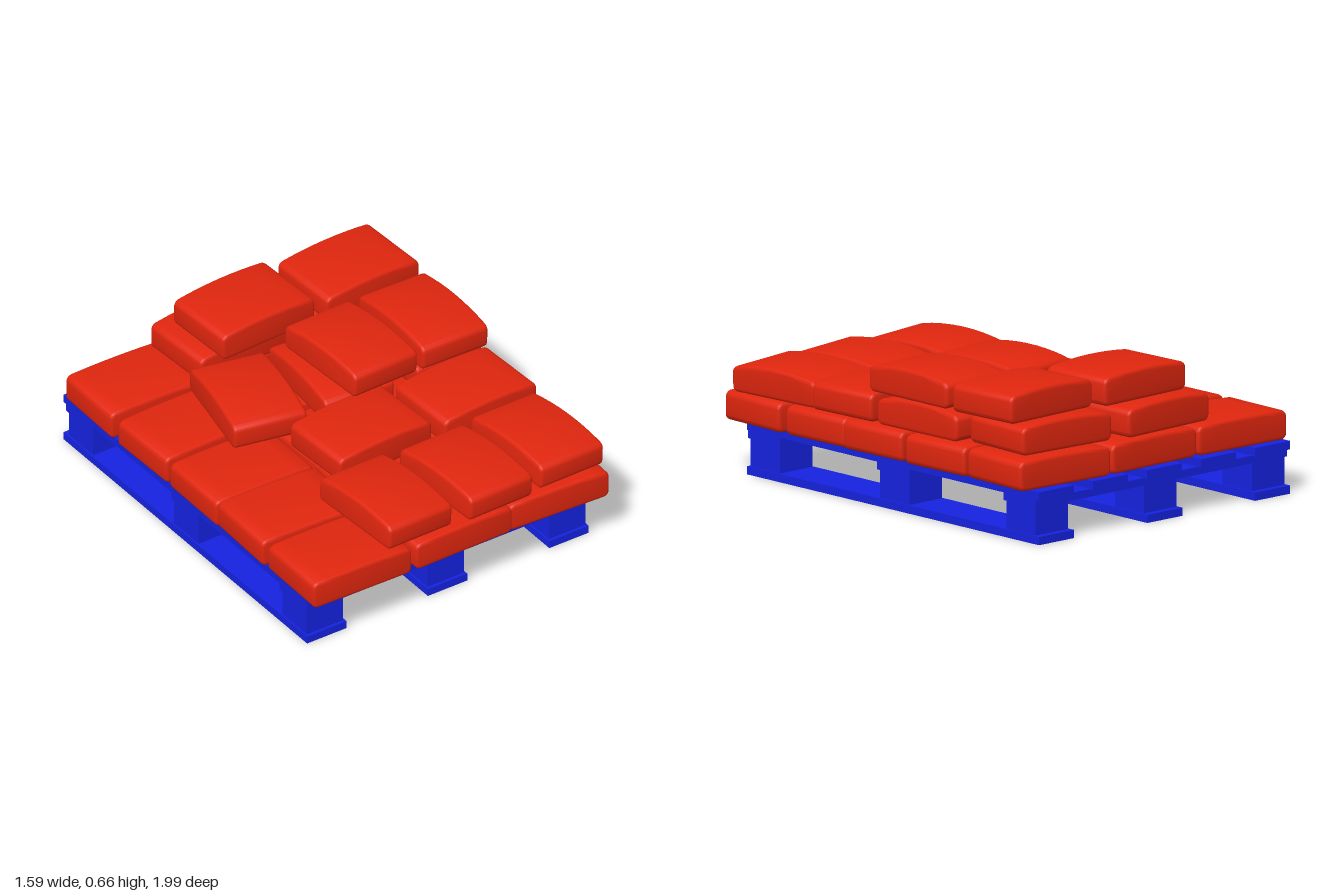
import * as THREE from 'three';
import { toCreasedNormals } from 'three/addons/utils/BufferGeometryUtils.js';

const blue = new THREE.MeshStandardMaterial({ color: 0x1522e0 });
const red = new THREE.MeshStandardMaterial({ color: 0xe0260e });

// Filled sack standing on y = 0: arched top along its length, rounded edges
function sackGeometry(length, width, height, arch) {
  const b = 0.016, r = 0.014;
  const x = length / 2 - b, y0 = b, y1 = height - arch - b;
  const s = new THREE.Shape();
  s.moveTo(-x + r, y0);
  s.lineTo(x - r, y0);
  s.quadraticCurveTo(x, y0, x, y0 + r);
  s.lineTo(x, y1 - r);
  s.quadraticCurveTo(x, y1, x - r, y1 + 0.004);
  s.quadraticCurveTo(0, y1 + 2 * arch, -x + r, y1 + 0.004);
  s.quadraticCurveTo(-x, y1, -x, y1 - r);
  s.lineTo(-x, y0 + r);
  s.quadraticCurveTo(-x, y0, -x + r, y0);
  const depth = width - 2 * b;
  const geo = new THREE.ExtrudeGeometry(s, {
    depth, bevelEnabled: true, bevelSize: b, bevelThickness: b, bevelSegments: 3, curveSegments: 8,
  });
  geo.translate(0, 0, -depth / 2);
  return toCreasedNormals(geo, 0.6);
}

function createPallet() {
  const pallet = new THREE.Group();
  pallet.name = 'pallet';
  const box = (name, x0, x1, y0, y1, z0, z1) => {
    const m = new THREE.Mesh(new THREE.BoxGeometry(x1 - x0, y1 - y0, z1 - z0), blue);
    m.position.set((x0 + x1) / 2, (y0 + y1) / 2, (z0 + z1) / 2);
    m.name = name;
    pallet.add(m);
  };
  const blockRows = [[-0.97, -0.78], [-0.15, 0.04], [0.69, 0.88]];
  // Skids with three blocks each
  for (const x of [-0.665, -0.022, 0.625]) {
    box('skid', x - 0.105, x + 0.105, 0, 0.037, -1, 0.895);
    for (const [z0, z1] of blockRows) box('block', x - 0.097, x + 0.097, 0.037, 0.165, z0, z1);
  }
  // Cross boards over the blocks
  for (const [z0, z1] of blockRows) box('crossBoard', -0.77, 0.73, 0.165, 0.2, z0 - 0.01, z1 + 0.01);
  // Deck boards
  for (let i = 0; i < 5; i++) {
    const x = -0.665 + i * 0.3225;
    box('deckBoard', x - 0.105, x + 0.105, 0.2, 0.238, -1, 0.895);
  }
  return pallet;
}

export function createModel() {
  const model = new THREE.Group();
  model.name = 'loadedPallet';
  model.add(createPallet());

  const flat = sackGeometry(0.52, 0.37, 0.138, 0.008);
  const across = sackGeometry(0.51, 0.368, 0.14, 0.016);
  const along = sackGeometry(0.51, 0.35, 0.138, 0.024).rotateY(Math.PI / 2);

  const layer = (name, y, sacks) => {
    const group = new THREE.Group();
    group.name = name;
    group.position.y = y;
    for (const [geo, x, z, turn, tilt = 0] of sacks) {
      const m = new THREE.Mesh(geo, red);
      m.name = 'sack';
      m.position.set(x, 0, z);
      m.rotation.set(0, turn, tilt);
      group.add(m);
    }
    model.add(group);
  };

  // Bottom layer: three columns of five sacks
  const rows = [-0.775, -0.367, 0.037, 0.408, 0.8];
  const turns = [
    [-0.02, 0.02, -0.01, -0.03, -0.015],
    [0.03, -0.02, 0.02, 0.02, 0.02],
    [-0.05, 0.04, 0.03, 0.03, -0.04],
  ];
  const bottom = [];
  [-0.53, 0.005, 0.522].forEach((x, c) =>
    rows.forEach((z, i) => bottom.push([flat, x, z, turns[c][i]])));
  layer('bottomLayer', 0.237, bottom);

  // Middle layer
  layer('middleLayer', 0.38, [
    [across, -0.1, -0.75, 0.058],
    [across, 0.465, -0.725, -0.05],
    [along, -0.285, -0.27, -0.2],
    [along, 0.13, -0.23, -0.08],
    [along, 0.585, -0.235, 0.02],
    [across, -0.026, 0.228, 0.05],
    [across, 0.522, 0.245, 0.05],
    [along, -0.227, 0.71, 0.06, -0.04],
    [along, 0.19, 0.725, 0.07, -0.04],
    [along, 0.586, 0.7, 0.06, -0.04],
  ]);

  // Top layer
  layer('topLayer', 0.52, [
    [across, -0.03, -0.675, 0.05],
    [across, 0.513, -0.657, 0.05],
    [along, 0.195, -0.175, 0.06, -0.03],
    [along, 0.578, -0.173, 0, -0.02],
  ]);
  return model;
}
